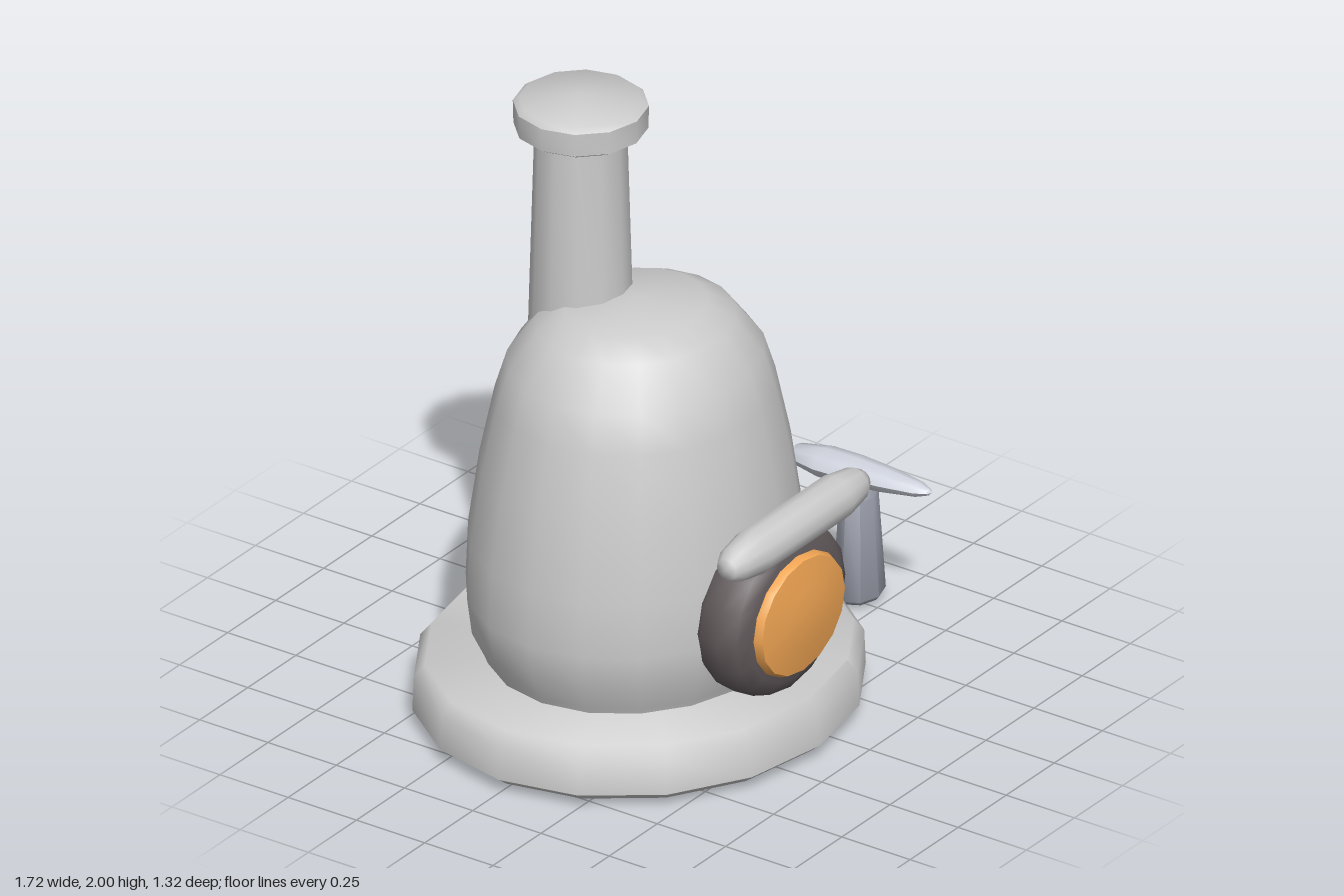
import * as THREE from 'three';
import { toCreasedNormals } from 'three/addons/utils/BufferGeometryUtils.js';

// Turned part: profile is [radius, height] from bottom to top, sx / sz squash the circle
function turned(name, profile, sides, { color = 0xcccccc, sx = 1, sz = 1, spin = 0, crease = 0.9 } = {}) {
  const points = profile.map(([r, h]) => new THREE.Vector2(r, h));
  const geometry = new THREE.LatheGeometry(points, sides);
  geometry.rotateY(spin);
  geometry.scale(sx, 1, sz);
  const mesh = new THREE.Mesh(
    toCreasedNormals(geometry, crease),
    new THREE.MeshStandardMaterial({ color })
  );
  mesh.name = name;
  return mesh;
}

export function createModel() {
  const model = new THREE.Group();
  model.name = 'stoveWithTool';
  const stove = new THREE.Group();
  stove.name = 'stove';
  stove.position.x = -0.135;
  model.add(stove);

  // Wide oval plinth
  stove.add(turned('base', [
    [0, 0.005], [0.69, 0.02], [0.73, 0.05], [0.725, 0.16], [0.69, 0.2], [0, 0.205],
  ], 16, { sz: 0.905 }));

  // Domed body
  const body = turned('body', [
    [0, 0.15], [0.48, 0.18], [0.495, 0.22], [0.54, 0.31], [0.555, 0.42], [0.547, 0.6], [0.51, 0.84],
    [0.46, 1.06], [0.42, 1.18], [0.325, 1.3], [0.235, 1.347], [0, 1.367],
  ], 18, { sz: 0.89, spin: Math.PI / 2 });
  body.position.z = -0.012;
  stove.add(body);

  // Chimney pipe and cap
  const pipe = turned('chimney', [[0, 1.0], [0.165, 1.0], [0.14, 1.88], [0, 1.88]], 12);
  const cap = turned('chimneyCap', [
    [0, 1.865], [0.165, 1.868], [0.203, 1.89], [0.205, 1.965], [0.185, 1.98], [0, 2.0],
  ], 12);
  for (const part of [pipe, cap]) {
    part.position.z = -0.213;
    stove.add(part);
  }

  // Fire door: dark frame and glowing window, turned about the z axis
  const frame = turned('doorFrame', [
    [0, 0.38], [0.27, 0.4], [0.295, 0.43], [0.305, 0.5], [0.285, 0.555], [0.24, 0.578], [0, 0.58],
  ], 16, { color: 0x625a5c, sz: 0.9 });
  const glow = turned('fireGlow', [
    [0, 0.55], [0.22, 0.56], [0.226, 0.58], [0.215, 0.603], [0.11, 0.62], [0, 0.626],
  ], 16, { color: 0xf2a654, sz: 0.86 });
  for (const part of [frame, glow]) {
    part.rotation.x = Math.PI / 2;
    part.position.y = 0.475;
    stove.add(part);
  }

  // Rounded hood bar above the door
  const hood = turned('doorHood', [
    [0, -0.357], [0.035, -0.35], [0.055, -0.315], [0.073, -0.21],
    [0.073, 0.21], [0.055, 0.315], [0.035, 0.35], [0, 0.357],
  ], 12);
  hood.rotation.z = Math.PI / 2;
  hood.position.set(0, 0.773, 0.567);
  stove.add(hood);

  // Standing tool: tapered handle with a pointed head across its top
  const tool = new THREE.Group();
  tool.name = 'tool';
  tool.position.set(0.765, 0, 0.172);
  model.add(tool);
  tool.add(turned('toolHandle', [
    [0, 0.005], [0.078, 0.02], [0.093, 0.035], [0.068, 0.365], [0.045, 0.387], [0, 0.4],
  ], 8, { color: 0x9599a5, sz: 0.79 }));
  const head = turned('toolHead', [
    [0, -0.257], [0.042, -0.235], [0.065, -0.13], [0.064, -0.02],
    [0.052, 0.1], [0.032, 0.215], [0.015, 0.25], [0, 0.26],
  ], 8, { color: 0xd0d4de, sz: 0.68 });
  head.rotation.x = Math.PI / 2 - 0.03;
  head.position.set(0, 0.438, 0.006);
  tool.add(head);

  return model;
}
